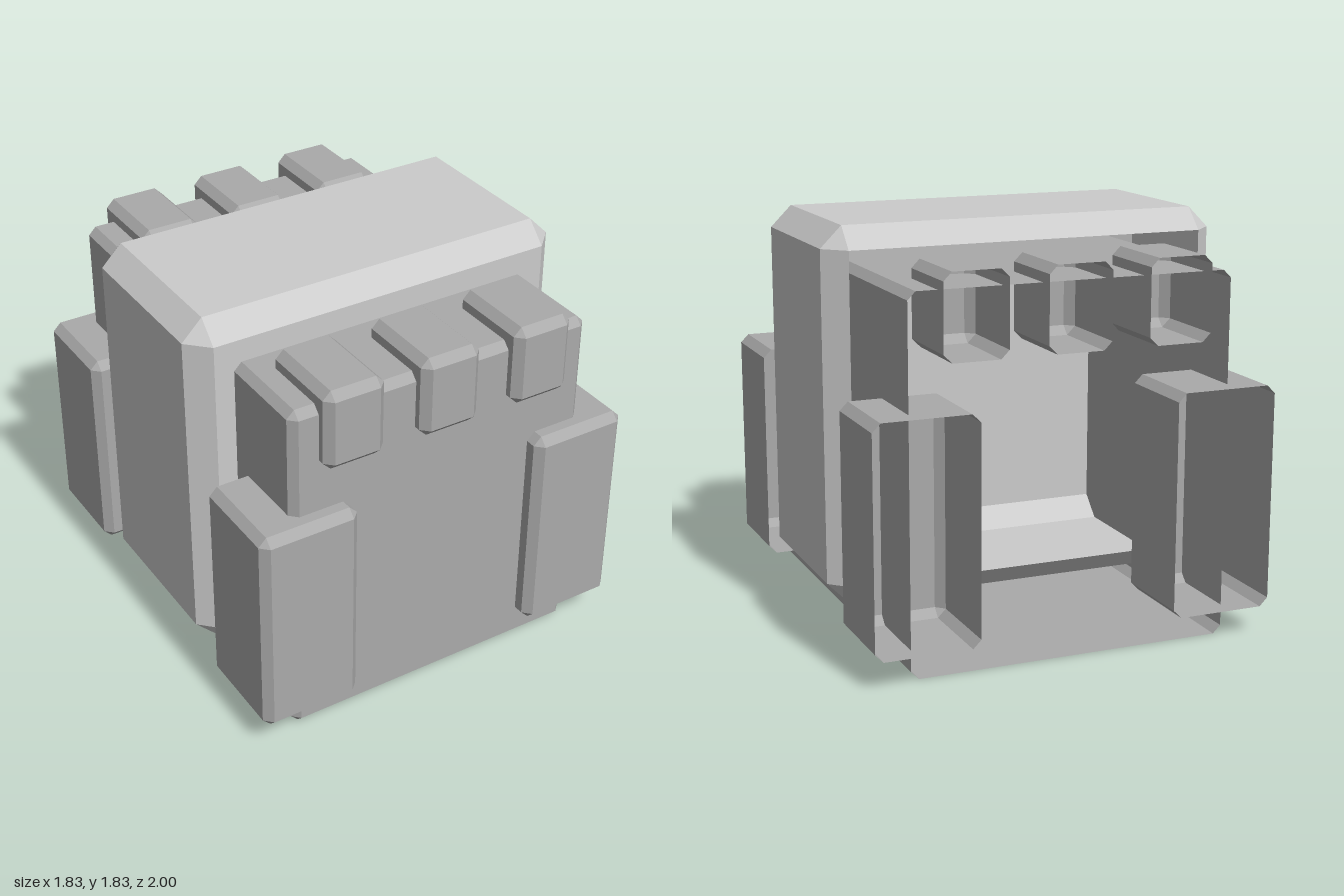
import * as THREE from 'three';

const makeMaterial = (color) =>
  new THREE.MeshStandardMaterial({ color, flatShading: true, side: THREE.DoubleSide });
const lightGrey = makeMaterial(0xcccccc);
const darkGrey = makeMaterial(0xaaaaaa);

// Rectangle of half size w, h with corners cut by c, counter-clockwise seen from +z
function section(w, h, c, z) {
  return [
    [w, c - h], [w, h - c], [w - c, h], [c - w, h],
    [-w, h - c], [-w, c - h], [c - w, -h], [w - c, -h],
  ].map(([x, y]) => new THREE.Vector3(x, y, z));
}

// Box with chamfered edges, closed at the front (+z) and open at the back
function chamferedShell(width, height, depth, bevel, bevelBack = false) {
  const w = width / 2, h = height / 2, d = depth / 2;
  const rings = [];
  if (bevelBack) rings.push(section(w - bevel, h - bevel, 0, -d));
  rings.push(section(w, h, bevel, bevelBack ? bevel - d : -d));
  rings.push(section(w, h, bevel, d - bevel));
  rings.push(section(w - bevel, h - bevel, 0, d));

  const points = [];
  const triangle = (a, b, c) => {
    if (new THREE.Triangle(a, b, c).getArea() > 1e-7) points.push(a, b, c);
  };
  for (let r = 0; r < rings.length - 1; r++) {
    const back = rings[r], front = rings[r + 1];
    for (let i = 0; i < 8; i++) {
      const j = (i + 1) % 8;
      triangle(back[i], back[j], front[j]);
      triangle(back[i], front[j], front[i]);
    }
  }
  // Front face
  const cap = rings[rings.length - 1];
  for (let i = 1; i < 7; i++) triangle(cap[0], cap[i], cap[i + 1]);

  const geometry = new THREE.BufferGeometry().setFromPoints(points);
  geometry.computeVertexNormals();
  return geometry;
}

export function createModel() {
  const model = new THREE.Group();
  model.name = 'blockyCrate';

  const add = (name, geometry, material, x, y, z) => {
    const mesh = new THREE.Mesh(geometry, material);
    mesh.name = name;
    mesh.position.set(x, y, z);
    model.add(mesh);
  };

  // Main body, open at the back
  add('body', chamferedShell(1.46, 1.63, 1.83, 0.035), darkGrey, 0, 0.815, 0);

  // Wide band around the middle
  add('middleBand', chamferedShell(1.83, 1.655, 0.925, 0.095, true), lightGrey, 0, 1.0025, 0);

  // Corner posts and rows of top studs, the same in front and at the back
  const post = chamferedShell(0.465, 1.0, 0.445, 0.037);
  const stud = chamferedShell(0.285, 0.37, 0.4, 0.037);
  for (const [end, sign] of [['front', 1], ['back', -1]]) {
    for (const [side, x] of [['Left', 0.6825], ['Right', -0.6825]]) {
      add(`${end}${side}Post`, post, darkGrey, x, 0.63, sign * 0.7775);
    }
    for (const [place, x] of [['Left', 0.46], ['Middle', 0], ['Right', -0.46]]) {
      add(`${end}${place}Stud`, stud, darkGrey, x, 1.525, sign * 0.78);
    }
  }

  return model;
}
